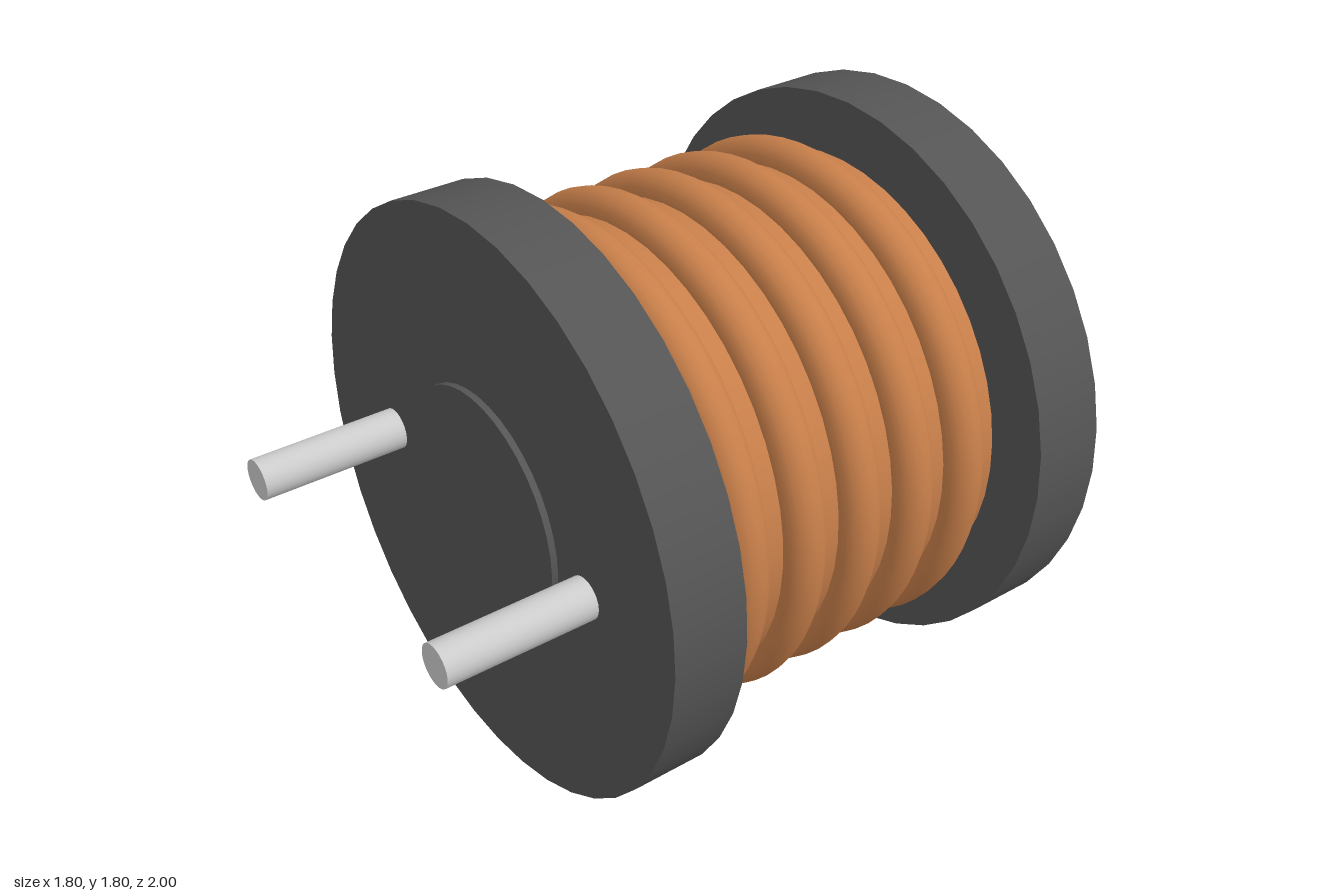
import * as THREE from 'three';

const AXIS_Y = 0.9; // height of the spool axis

export function createModel() {
  const group = new THREE.Group();
  const ferrite = new THREE.MeshStandardMaterial({ color: 0x555555 });
  const copper = new THREE.MeshStandardMaterial({ color: 0xc87f4a });
  const metal = new THREE.MeshStandardMaterial({ color: 0xcccccc });

  function add(name, geometry, material, x, z) {
    const mesh = new THREE.Mesh(geometry, material);
    mesh.name = name;
    mesh.position.set(x, AXIS_Y, z);
    group.add(mesh);
  }

  // Solid cylinder lying along z between two depths
  function rod(name, radius, z0, z1, material, segments = 40, x = 0) {
    const geometry = new THREE.CylinderGeometry(radius, radius, z1 - z0, segments);
    geometry.rotateX(Math.PI / 2);
    add(name, geometry, material, x, (z0 + z1) / 2);
  }

  // Spool: two end flanges joined by a thin core, with a raised front disc
  rod('frontFlange', 0.9, 0.305, 0.537, ferrite);
  rod('backFlange', 0.9, -1, -0.768, ferrite);
  rod('core', 0.18, -0.768, 0.305, ferrite);
  rod('frontDisc', 0.375, 0.537, 0.557, ferrite);

  // Copper winding body with five rounded turns
  rod('windingBody', 0.72, -0.76, 0.295, copper, 48);
  for (let i = 0; i < 5; i++) {
    add('windingTurn', new THREE.TorusGeometry(0.72, 0.066, 16, 64), copper, 0, 0.167 - 0.199 * i);
  }

  // Pair of contact pins
  for (const side of [-1, 1]) {
    rod('pin', 0.064, 0.5, 1, metal, 24, side * 0.503);
  }

  return group;
}
